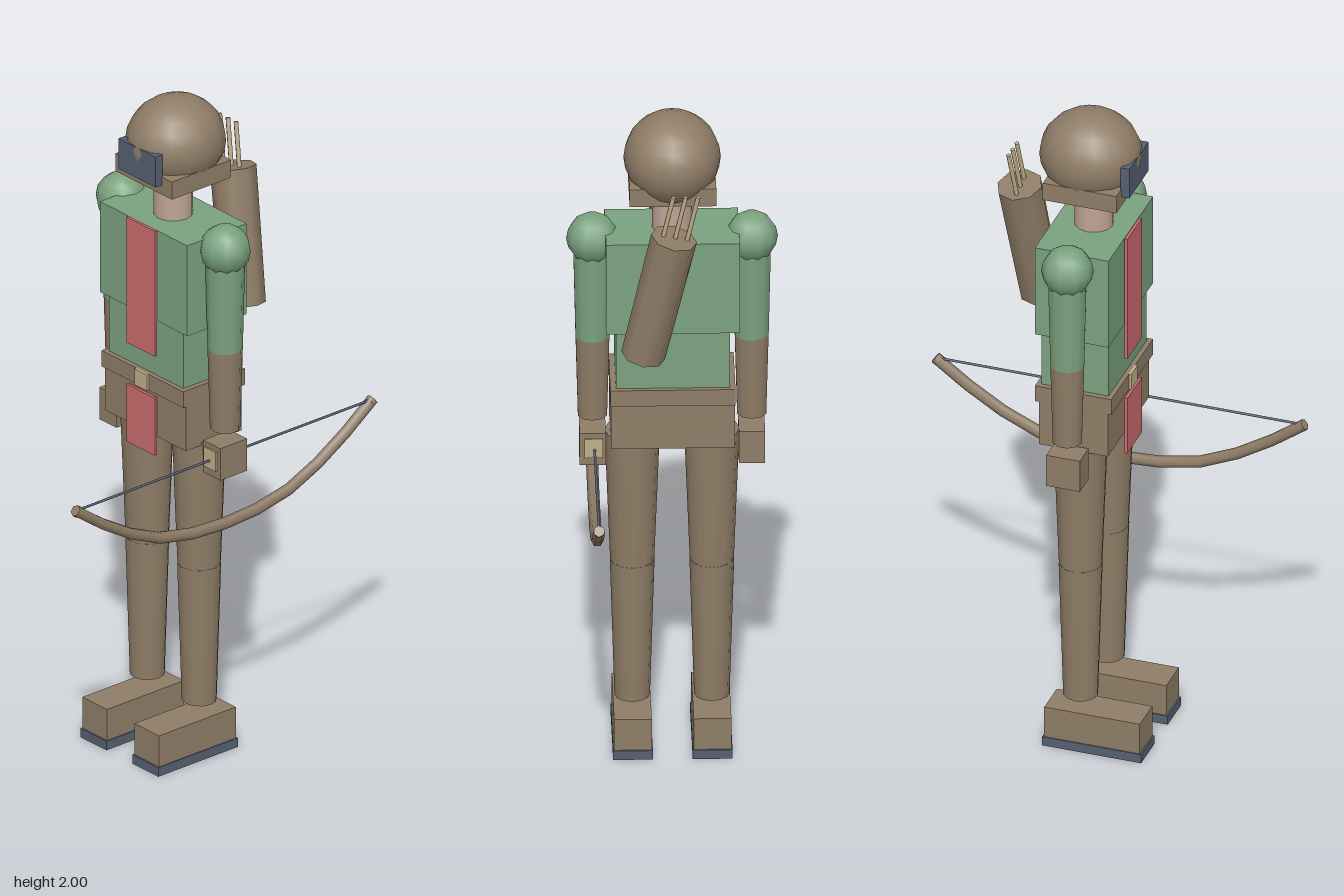
import * as THREE from 'three';

const mat = (name, color) => {
  const m = new THREE.MeshStandardMaterial({ color });
  m.name = name;
  return m;
};

export function createModel() {
  const brown = mat('brown leather', 0x8f7d67);
  const green = mat('green cloth', 0x7ba280);
  const red = mat('red cloth', 0xcb6b6e);
  const slate = mat('slate', 0x566072);
  const tan = mat('pale wood', 0xbfae88);
  const skin = mat('skin', 0xc0a595);

  const model = new THREE.Group();
  model.name = 'archer';
  const add = (name, geometry, material) => {
    const mesh = new THREE.Mesh(geometry, material);
    mesh.name = name;
    model.add(mesh);
    return mesh;
  };
  // Box from its min and max corners
  const box = (name, material, x0, x1, y0, y1, z0, z1) =>
    add(name, new THREE.BoxGeometry(x1 - x0, y1 - y0, z1 - z0), material)
      .position.set((x0 + x1) / 2, (y0 + y1) / 2, (z0 + z1) / 2);
  // Tapered rod from bottom point a to top point b
  const rod = (name, material, a, b, rBottom, rTop, sides) => {
    const from = new THREE.Vector3(...a), to = new THREE.Vector3(...b);
    const dir = to.clone().sub(from);
    const mesh = add(name, new THREE.CylinderGeometry(rTop, rBottom, dir.length(), sides), material);
    mesh.position.copy(from).add(to).multiplyScalar(0.5);
    mesh.quaternion.setFromUnitVectors(new THREE.Vector3(0, 1, 0), dir.normalize());
  };

  // Hooded head, collar, visor and neck
  const hood = add('hood', new THREE.SphereGeometry(1, 16, 12), brown);
  hood.scale.set(0.137, 0.133, 0.147);
  hood.position.set(0, 1.867, -0.009);
  box('hoodCollar', brown, -0.122, 0.122, 1.76, 1.815, -0.11, 0.11);
  box('visor', slate, -0.08, 0.08, 1.79, 1.885, 0.108, 0.134);
  rod('neck', skin, [0, 1.6, 0], [0, 1.78, 0], 0.056, 0.056, 12);

  // Torso, hips and belt
  box('chest', green, -0.188, 0.188, 1.357, 1.64, -0.11, 0.11);
  box('waist', green, -0.16, 0.16, 1.17, 1.357, -0.1, 0.1);
  box('belt', brown, -0.176, 0.176, 1.13, 1.18, -0.114, 0.114);
  box('hips', brown, -0.174, 0.174, 0.99, 1.13, -0.103, 0.103);
  box('buckle', tan, -0.027, 0.027, 1.13, 1.18, 0.112, 0.121);
  box('upperTabard', red, -0.061, 0.061, 1.25, 1.642, 0.112, 0.121);
  box('lowerTabard', red, -0.061, 0.061, 0.94, 1.12, 0.112, 0.121);

  // Mirrored arms and legs
  for (const [side, s] of [['left', 1], ['right', -1]]) {
    const ax = 0.224 * s, lx = 0.112 * s;
    add(side + 'Shoulder', new THREE.SphereGeometry(0.074, 10, 8), green).position.set(ax, 1.608, 0);
    rod(side + 'UpperArm', green, [ax, 1.3, 0], [ax, 1.6, 0], 0.05, 0.057, 10);
    rod(side + 'Forearm', brown, [ax, 1.05, 0], [ax, 1.305, 0], 0.043, 0.05, 10);
    box(side + 'Hand', brown, ax - 0.037, ax + 0.037, 0.913, 1.013, -0.05, 0.05);
    rod(side + 'Thigh', brown, [lx, 0.585, 0], [lx, 1.0, 0], 0.062, 0.078, 12);
    rod(side + 'Shin', brown, [lx, 0.16, 0], [lx, 0.59, 0], 0.05, 0.063, 12);
    box(side + 'Boot', brown, lx - 0.053, lx + 0.053, 0.028, 0.125, -0.09, 0.195);
    box(side + 'Sole', slate, lx - 0.056, lx + 0.056, 0, 0.028, -0.095, 0.2);
  }

  // Bow held level in the left hand, with string and grip
  const bx = 0.219;
  const half = [[0.55, 0.962], [0.405, 0.86], [0.257, 0.785], [0.13, 0.756]];
  const points = [
    ...half.map(([z, y]) => new THREE.Vector3(bx, y, z)),
    new THREE.Vector3(bx, 0.748, 0),
    ...half.slice().reverse().map(([z, y]) => new THREE.Vector3(bx, y, -z)),
  ];
  add('bow', new THREE.TubeGeometry(new THREE.CatmullRomCurve3(points), 10, 0.017, 6), brown);
  for (const s of [1, -1]) {
    rod('bowTip', brown, [bx, 0.955, 0.54 * s], [bx, 0.963, 0.551 * s], 0.017, 0.017, 6);
  }
  rod('bowString', slate, [bx, 0.962, -0.53], [bx, 0.962, 0.53], 0.004, 0.004, 6);
  box('bowGrip', tan, 0.195, 0.247, 0.937, 0.997, -0.055, 0.055);

  // Tilted quiver with three arrows
  rod('quiver', brown, [0.086, 1.33, -0.187], [0, 1.718, -0.222], 0.063, 0.066, 8);
  for (const x of [-0.035, 0, 0.035]) {
    rod('arrow', tan, [x, 1.7, -0.217], [x - 0.033, 1.852, -0.231], 0.007, 0.007, 6);
  }
  return model;
}
